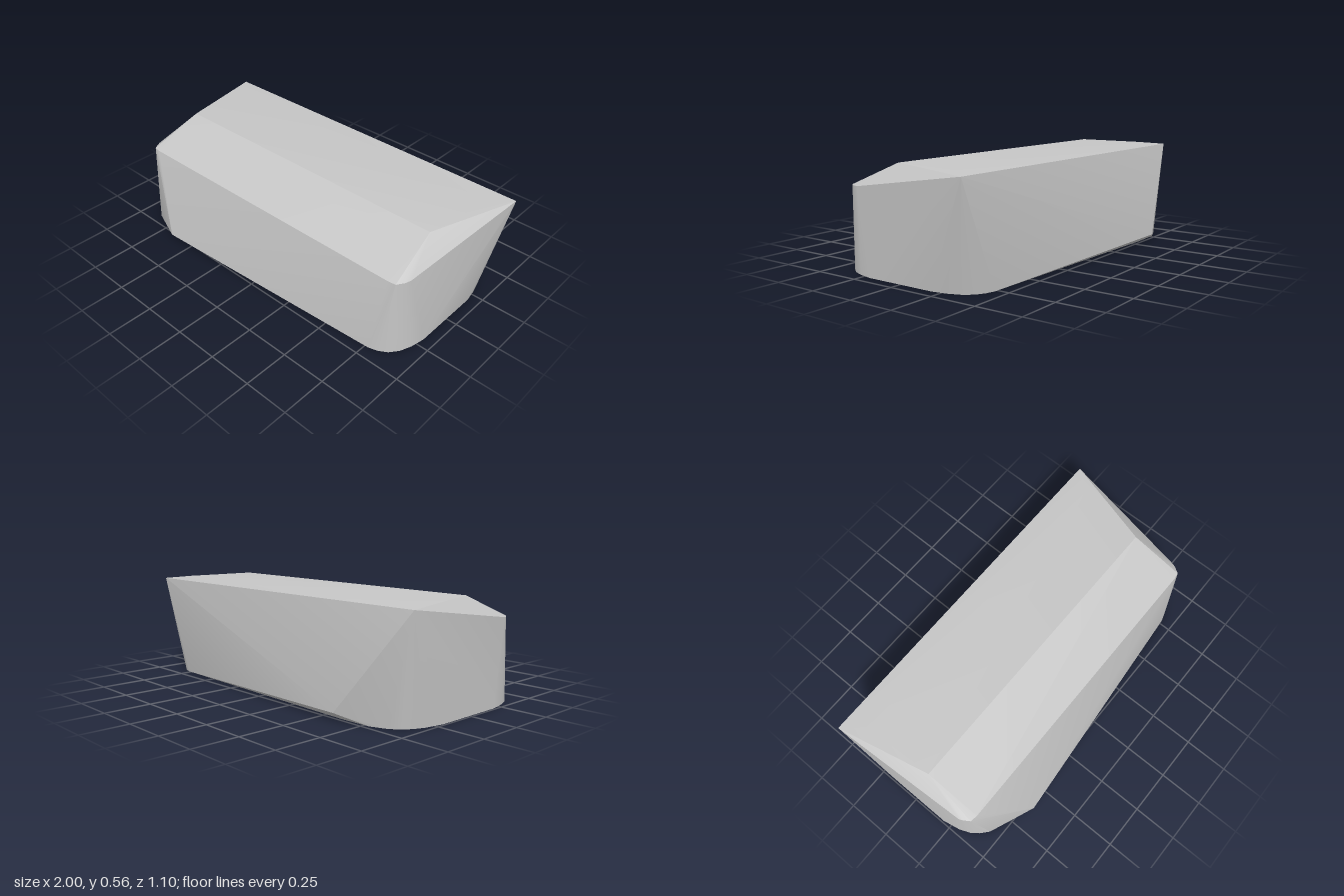
import * as THREE from 'three';
import { ConvexGeometry } from 'three/addons/geometries/ConvexGeometry.js';
import { toCreasedNormals } from 'three/addons/utils/BufferGeometryUtils.js';

export function createModel() {
  const stone = new THREE.MeshStandardMaterial({ color: 0xc6c6c6 });
  stone.name = 'stoneGrey';
  const points = [];
  const add = (x, y, z) => points.push(new THREE.Vector3(x, y, z));

  // Footprint with rounded corners, mirrored front to back
  const footprint = [
    [-0.99, 0.2], [-0.97, 0.3], [-0.945, 0.36], [-0.915, 0.4], [-0.87, 0.44], [-0.78, 0.475], [-0.62, 0.482],
    [0.77, 0.433], [0.82, 0.418], [0.865, 0.39], [0.9, 0.345], [0.925, 0.28], [0.94, 0.2],
  ];
  for (const side of [1, -1]) {
    for (const [x, z] of footprint) add(x, 0, z * side);
    // Bulge just above the ground
    add(-0.62, 0.045, 0.55 * side);
  }

  // Back top edge
  add(-1, 0.553, -0.432);
  add(1, 0.553, -0.432);
  // Flat crown
  add(-0.885, 0.565, 0.085);
  add(0.84, 0.565, 0.09);
  add(-0.9, 0.565, -0.31);
  add(0.9, 0.565, -0.31);
  // Front top edge with rounded ends
  const shoulder = [
    [-0.95, 0.33], [-0.94, 0.35], [-0.92, 0.381], [-0.88, 0.388],
    [0.83, 0.388], [0.87, 0.383], [0.895, 0.345], [0.905, 0.31],
  ];
  for (const [x, z] of shoulder) add(x, 0.44, z);

  const block = new THREE.Mesh(toCreasedNormals(new ConvexGeometry(points), 0.37), stone);
  block.name = 'stoneBlock';
  const model = new THREE.Group();
  model.name = 'stone';
  model.add(block);
  return model;
}
